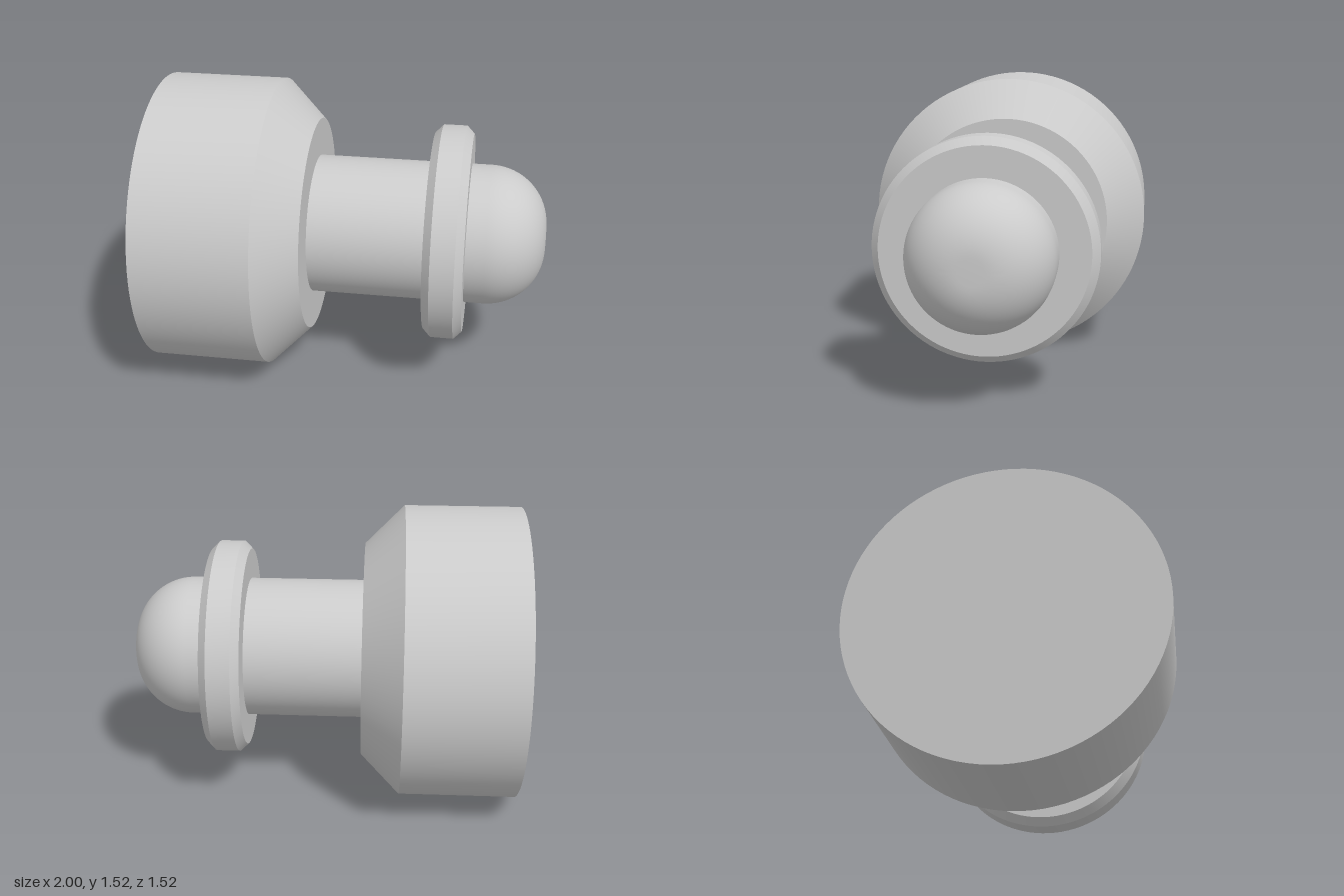
import * as THREE from 'three';
import { toCreasedNormals } from 'three/addons/utils/BufferGeometryUtils.js';

const AXIS_HEIGHT = 0.76;
const material = new THREE.MeshStandardMaterial({ color: 0xcccccc });

// Turned part: profile of [radius, x] pairs running from -x to +x
function turned(name, profile) {
  const points = profile.map(([r, x]) => new THREE.Vector2(r, x));
  const geometry = toCreasedNormals(new THREE.LatheGeometry(points, 96), 0.4);
  geometry.rotateZ(-Math.PI / 2);
  const mesh = new THREE.Mesh(geometry, material);
  mesh.name = name;
  return mesh;
}

export function createModel() {
  const group = new THREE.Group();
  group.name = 'turnedKnob';

  // Heavy head with a wide chamfer
  const head = turned('head', [[0, -1], [0.76, -1], [0.76, -0.4], [0.56, -0.2], [0, -0.2]]);

  // Pin with a rounded nose ending in a tiny flat
  const radius = 0.364, fillet = 0.3, steps = 20;
  const pinProfile = [[0, -0.2], [radius, -0.2]];
  for (let i = 0; i <= steps; i++) {
    const a = (i / steps) * Math.PI / 2;
    pinProfile.push([radius - fillet + fillet * Math.cos(a), 1 - fillet + fillet * Math.sin(a)]);
  }
  pinProfile.push([0, 1]);
  const pin = turned('pin', pinProfile);

  // Collar chamfered on both rims
  const collar = turned('collar', [
    [0, 0.4], [0.52, 0.4], [0.56, 0.44], [0.56, 0.56], [0.52, 0.6], [0, 0.6],
  ]);

  group.add(head, pin, collar);
  group.children.forEach((part) => { part.position.y = AXIS_HEIGHT; });
  return group;
}
